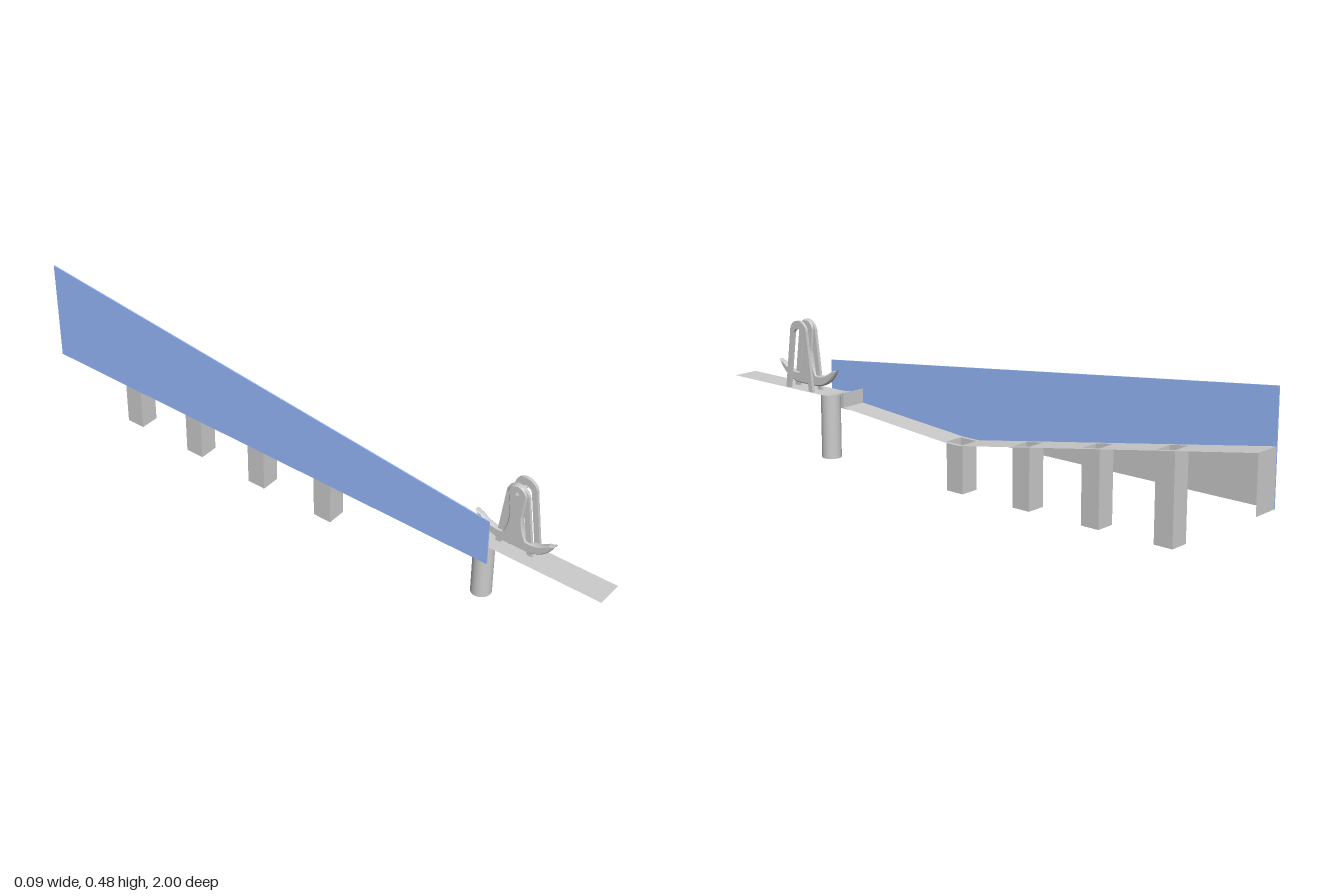
import * as THREE from 'three';

const grey = new THREE.MeshStandardMaterial({ color: 0xcccccc, side: THREE.DoubleSide, flatShading: true });
const round = new THREE.MeshStandardMaterial({ color: 0xcccccc });
const blue = new THREE.MeshStandardMaterial({ color: 0x99bbff });

const X0 = -0.042, X1 = 0.043;      // deck edges
const DECK = 0.208, LOW = 0.15;     // deck and trough heights
const POST = 0.031;                 // half width of a post
const posts = [0.05, -0.205, -0.455, -0.705];

// Height of the ramp behind the lip
function rampY(z) {
  if (z > 0.08) return LOW + (z - 0.08) / 0.42 * 0.034;
  if (z > 0.02) return LOW;
  return LOW + (0.02 - z) / 1.02 * 0.17;
}

function add(group, name, geometry, material) {
  const mesh = new THREE.Mesh(geometry, material);
  mesh.name = name;
  group.add(mesh);
  return mesh;
}

// Geometry from a list of four-cornered faces
function quads(list) {
  const pos = [];
  for (const [a, b, c, d] of list) pos.push(...a, ...b, ...c, ...a, ...c, ...d);
  const g = new THREE.BufferGeometry();
  g.setAttribute('position', new THREE.Float32BufferAttribute(pos, 3));
  g.computeVertexNormals();
  return g;
}

// Level-edged strip between two stations (z, y), facing up when za > zb
const strip = (xa, xb, za, ya, zb, yb) => [[xa, ya, za], [xb, ya, za], [xb, yb, zb], [xa, yb, zb]];

// Plate drawn in (z, y) and given thickness from xa to xb
function plate(shape, xa, xb, bevel = 0) {
  const g = new THREE.ExtrudeGeometry(shape, {
    depth: xb - xa - 2 * bevel, curveSegments: 16, bevelEnabled: bevel > 0,
    bevelSize: bevel, bevelThickness: bevel, bevelOffset: -bevel, bevelSegments: 1,
  });
  g.rotateY(-Math.PI / 2);
  g.translate(xb - bevel, 0, 0);
  return g;
}

function polygon(points) {
  return new THREE.Shape(points.map(([z, y]) => new THREE.Vector2(z, y)));
}

// Front deck with its curved lip, then the drop behind it
function deck() {
  const faces = [strip(X0, X1, 1, DECK, 0.6, DECK)];
  const lip = t => [0.6 - 0.1 * t, DECK + 0.022 * t * t];
  for (let i = 0; i < 6; i++) faces.push(strip(X0, X1, ...lip(i / 6), ...lip((i + 1) / 6)));
  faces.push(strip(X0, X1, 0.5, 0.23, 0.5, rampY(0.5)));
  return quads(faces);
}

// Ramp with a square opening over each post
function ramp() {
  const faces = [];
  const span = (xa, xb, za, zb) => faces.push(strip(xa, xb, za, rampY(za), zb, rampY(zb)));
  let z = 0.5;
  for (const p of posts) {
    span(X0, X1, z, p + POST);
    span(X0, -POST, p + POST, p - POST);
    span(POST, X1, p + POST, p - POST);
    z = p - POST;
  }
  span(X0, X1, z, -1);
  return quads(faces);
}

// Open-topped hollow post, its rim cut to the ramp
function post(p) {
  const corners = [[-POST, p + POST], [POST, p + POST], [POST, p - POST], [-POST, p - POST]];
  const faces = corners.map(([x, z], i) => {
    const [u, w] = corners[(i + 1) % 4];
    return [[x, 0, z], [u, 0, w], [u, rampY(w), w], [x, rampY(z), z]];
  });
  faces.push(corners.map(([x, z]) => [x, 0, z]).reverse());
  return quads(faces);
}

// Upside-down U frame, centred on z = c
function frameShape(c) {
  const s = new THREE.Shape();
  s.moveTo(c + 0.06, 0.21);
  s.lineTo(c + 0.036, 0.394);
  s.absarc(c, 0.394, 0.036, 0, Math.PI, false);
  s.lineTo(c - 0.06, 0.21);
  s.lineTo(c - 0.043, 0.21);
  s.lineTo(c - 0.02, 0.385);
  s.absarc(c, 0.385, 0.02, Math.PI, 0, true);
  s.lineTo(c + 0.043, 0.21);
  return s;
}

// Tapered shank that flares at its foot
function shankShape(c) {
  const s = new THREE.Shape();
  s.moveTo(c + 0.05, 0.24);
  s.quadraticCurveTo(c + 0.022, 0.27, c + 0.021, 0.33);
  s.lineTo(c + 0.03, 0.4);
  s.absarc(c, 0.4, 0.03, 0, Math.PI, false);
  s.lineTo(c - 0.021, 0.33);
  s.quadraticCurveTo(c - 0.022, 0.27, c - 0.05, 0.24);
  return s;
}

// Crescent arms with blunt tips
function armsShape(c) {
  const s = new THREE.Shape();
  s.moveTo(c - 0.13, 0.284);
  s.quadraticCurveTo(c - 0.1, 0.225, c - 0.04, 0.22);
  s.lineTo(c + 0.04, 0.22);
  s.quadraticCurveTo(c + 0.1, 0.225, c + 0.13, 0.284);
  s.lineTo(c + 0.108, 0.278);
  s.quadraticCurveTo(c + 0.075, 0.252, c + 0.04, 0.256);
  s.lineTo(c - 0.04, 0.256);
  s.quadraticCurveTo(c - 0.075, 0.252, c - 0.108, 0.278);
  return s;
}

function rod(radius, xa, xb, y, z) {
  const g = new THREE.CylinderGeometry(radius, radius, xb - xa, 16);
  g.rotateZ(Math.PI / 2);
  g.translate((xa + xb) / 2, y, z);
  return g;
}

export function createModel() {
  const model = new THREE.Group();
  model.name = 'ramp';

  add(model, 'frontDeck', deck(), grey);
  add(model, 'rampSurface', ramp(), grey);
  posts.forEach(p => add(model, 'post', post(p), grey));

  // Round pillar under the front deck
  const pillar = add(model, 'pillar', new THREE.CylinderGeometry(0.031, 0.031, DECK - 0.001, 32), round);
  pillar.position.set(0.001, (DECK - 0.001) / 2, 0.6);

  // Closing walls below the ramp: long side and back end
  const outline = [[0.64, DECK], [0.5, DECK], [0.5, rampY(0.5)], [0.08, LOW + 0.0005], [0.02, LOW + 0.0005], [-1, 0.32]];
  const side = [];
  for (let i = 0; i < outline.length - 1; i++) {
    const [za, ya] = outline[i], [zb, yb] = outline[i + 1];
    if (za !== zb) side.push([[X0, LOW, za], [X0, LOW, zb], [X0, yb, zb], [X0, ya, za]]);
  }
  add(model, 'lowerSideWall', quads(side), grey);
  add(model, 'backWall', quads([[[X1, LOW, -1], [X0, LOW, -1], [X0, 0.32, -1], [X1, 0.32, -1]]]), grey);

  // Tall coloured side panel
  const panel = polygon([[0.64, LOW], [0.64, 0.3], [-1, 0.48], [-1, LOW]]);
  add(model, 'sidePanel', plate(panel, -0.046, -0.0425), blue);

  // Hooked anchor with its side frame and cross pin
  const anchor = new THREE.Group();
  anchor.name = 'anchor';
  const c = 0.697;
  add(anchor, 'sideFrame', plate(frameShape(c), 0.034, 0.044), grey);
  add(anchor, 'centreFrame', plate(frameShape(c), -0.005, 0.005), grey);
  add(anchor, 'shank', plate(shankShape(c), -0.009, 0.009, 0.004), grey);
  add(anchor, 'arms', plate(armsShape(c), -0.009, 0.009, 0.004), grey);
  add(anchor, 'pin', rod(0.005, -0.018, 0.036, 0.402, c), round);
  for (const x of [-0.013, 0.014]) add(anchor, 'pinCollar', rod(0.007, x - 0.002, x + 0.002, 0.402, c), round);
  model.add(anchor);

  return model;
}
